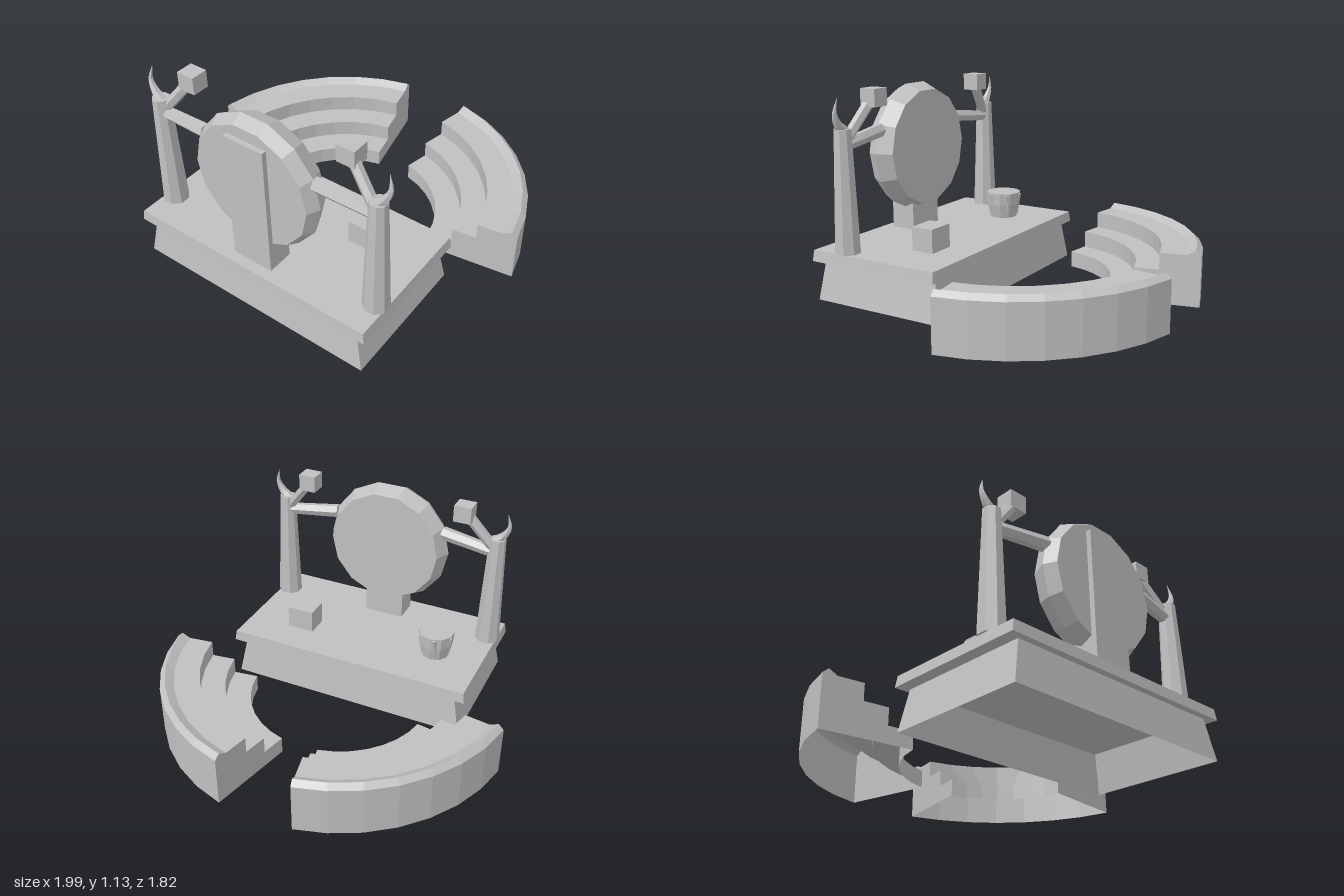
import * as THREE from 'three';

const V = (x, y, z) => new THREE.Vector3(x, y, z);

export function createModel() {
  const model = new THREE.Group();
  model.name = 'drumStage';
  const grey = new THREE.MeshStandardMaterial({ color: 0xc0c0c0, flatShading: true, side: THREE.DoubleSide });
  grey.name = 'plain grey';

  function add(name, geometry, x = 0, y = 0, z = 0, parent = model) {
    const mesh = new THREE.Mesh(geometry, grey);
    mesh.name = name;
    mesh.position.set(x, y, z);
    parent.add(mesh);
    return mesh;
  }

  // Four-sided block with sloping walls; half sizes are those of the bottom
  function taperedBlock(halfX, halfZ, height, ratio, open) {
    return new THREE.CylinderGeometry(Math.SQRT2 * ratio, Math.SQRT2, height, 4, 1, open)
      .rotateY(Math.PI / 4).scale(halfX, 1, halfZ);
  }

  // Straight faceted bar between two points
  function bar(name, a, b, radiusA, radiusB, sides) {
    const mesh = add(name, new THREE.CylinderGeometry(radiusB, radiusA, a.distanceTo(b), sides));
    mesh.position.copy(a).add(b).multiplyScalar(0.5);
    mesh.quaternion.setFromUnitVectors(V(0, 1, 0), b.clone().sub(a).normalize());
    return mesh;
  }

  // Curved horn that tapers to a point
  function horn(points, radius) {
    const curve = new THREE.CatmullRomCurve3(points);
    const rings = 8, sides = 6;
    const geometry = new THREE.TubeGeometry(curve, rings, radius, sides);
    const p = geometry.attributes.position;
    const v = new THREE.Vector3();
    for (let i = 0; i <= rings; i++) {
      const centre = curve.getPointAt(i / rings);
      const size = Math.max(0.02, 1 - i / rings);
      for (let j = 0; j <= sides; j++) {
        const k = i * (sides + 1) + j;
        v.fromBufferAttribute(p, k).sub(centre).multiplyScalar(size).add(centre);
        p.setXYZ(k, v.x, v.y, v.z);
      }
    }
    geometry.computeVertexNormals();
    return geometry;
  }

  // Stage: hollow sloping base with an overhanging deck
  add('stageBase', taperedBlock(0.7, 0.384, 0.22, 0.9375, true), 0, 0.11, 0.512);
  add('stageDeck', taperedBlock(0.722, 0.393, 0.06, 0.987, false), 0, 0.25, 0.515);

  // Large upright drum with a bulging rim
  const drumProfile = [[0, -0.08], [0.33, -0.08], [0.369, 0.01], [0.337, 0.075], [0, 0.075]]
    .map(([r, y]) => new THREE.Vector2(r, y));
  const drum = new THREE.LatheGeometry(drumProfile, 14, Math.PI / 2).rotateX(Math.PI / 2);
  add('largeDrum', drum, 0, 0.754, 0.742);
  add('drumStand', new THREE.BoxGeometry(0.235, 0.74, 0.145), 0, 0.65, 0.772);

  // Columns, each with a horn, a drum beam, and a lamp on a slanted strut
  for (const [side, s] of [['left', 1], ['right', -1]]) {
    add(side + 'Column', new THREE.CylinderGeometry(0.047, 0.071, 0.655, 8).rotateY(Math.PI / 8),
      s * 0.658, 0.6075, 0.715);
    add(side + 'Horn', horn([
      V(s * 0.65, 0.92, 0.715), V(s * 0.69, 0.96, 0.715),
      V(s * 0.717, 1.02, 0.71), V(s * 0.703, 1.098, 0.7),
    ], 0.032));
    bar(side + 'Beam', V(s * 0.64, 0.852, 0.712), V(s * 0.33, 0.885, 0.742), 0.034, 0.039, 6);
    bar(side + 'LampStrut', V(s * 0.635, 0.88, 0.71), V(s * 0.478, 1.075, 0.668), 0.03, 0.03, 6);
    add(side + 'Lamp', new THREE.BoxGeometry(0.1, 0.095, 0.095), s * 0.473, 1.084, 0.658);
  }

  // Small hand drum with tapering straps
  const hand = new THREE.Group();
  hand.name = 'handDrum';
  hand.position.set(-0.436, 0.28, 0.433);
  model.add(hand);
  const cup = [[0, 0], [0.08, 0], [0.097, 0.08], [0.102, 0.15], [0, 0.15]]
    .map(([r, y]) => new THREE.Vector2(r, y));
  add('handDrumBody', new THREE.LatheGeometry(cup, 10), 0, 0, 0, hand);
  for (let i = 0; i < 6; i++) {
    const pivot = new THREE.Group();
    pivot.name = 'strapPivot';
    pivot.rotation.y = (i / 6) * Math.PI * 2 + 0.3;
    hand.add(pivot);
    const strap = add('strap', new THREE.CylinderGeometry(0.012, 0.003, 0.135, 4), 0, 0.075, 0.09, pivot);
    strap.rotation.set(0.13, 0, 0.12);
  }

  // Wooden box on the deck
  add('stageBox', new THREE.BoxGeometry(0.157, 0.13, 0.13), 0.379, 0.345, 0.38);

  // Curved stepped seating, open underneath, with closed ends
  const steps = [
    [0.513, 0], [0.513, 0.093], [0.652, 0.093], [0.652, 0.187], [0.788, 0.187],
    [0.788, 0.28], [0.93, 0.28], [0.977, 0.307], [1.007, 0.28], [1.007, 0],
  ].map(([r, y]) => new THREE.Vector2(r, y));
  const rad = THREE.MathUtils.degToRad;
  for (const [side, start] of [['left', 8], ['right', 102]]) {
    const seating = new THREE.Group();
    seating.name = side + 'Seating';
    seating.position.z = 0.07;
    model.add(seating);
    add('seatSteps', new THREE.LatheGeometry(steps, 7, rad(90 + start), rad(70)), 0, 0, 0, seating);
    for (const angle of [start, start + 70]) {
      const end = add('seatEnd', new THREE.ShapeGeometry(new THREE.Shape(steps)), 0, 0, 0, seating);
      end.rotation.y = rad(angle);
    }
  }

  return model;
}
